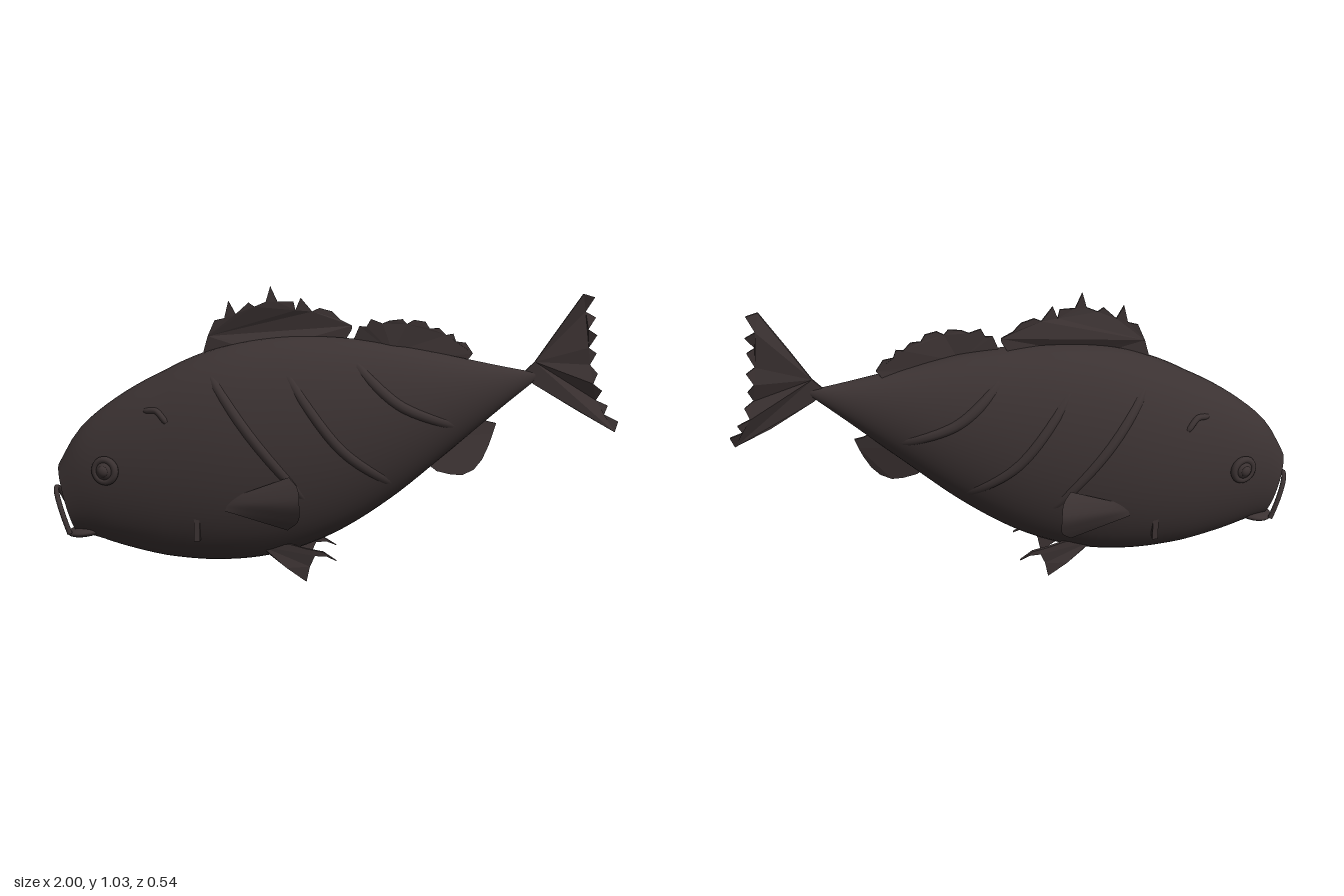
import * as THREE from 'three';

const skin = new THREE.MeshStandardMaterial({ color: 0x3b3232, side: THREE.DoubleSide });
skin.name = 'dark brown skin';

// Body profile: x, top, bottom, half width
const profile = [
  [-0.955, 0.41, 0.165, 0.062], [-0.88, 0.525, 0.143, 0.098], [-0.8, 0.605, 0.118, 0.126],
  [-0.6, 0.745, 0.078, 0.174], [-0.4, 0.828, 0.064, 0.2], [-0.2, 0.861, 0.088, 0.199],
  [0, 0.861, 0.163, 0.18], [0.2, 0.838, 0.29, 0.146], [0.4, 0.798, 0.455, 0.1],
  [0.6, 0.757, 0.625, 0.042], [0.71, 0.737, 0.715, 0.004],
];
const curve = new THREE.CubicInterpolant(profile.map((p) => p[0]), profile.flatMap((p) => p.slice(1)), 3);

function section(x) {
  const [top, bottom, w] = curve.evaluate(x);
  return { c: (top + bottom) / 2, h: (top - bottom) / 2, w };
}

// Side surface of the body at (x, y)
function surfaceZ(x, y) {
  const { c, h, w } = section(x);
  return w * Math.sqrt(Math.max(0, 1 - ((y - c) / h) ** 2));
}

// One cross-section; those near the mouth lean back at the bottom
function ring(x, scale = 1, shift = 0, n = 48) {
  const { c, h, w } = section(x);
  const lean = 0.24 * Math.max(0, (-0.6 - x) / 0.355);
  return Array.from({ length: n }, (_, j) => {
    const a = (j / n) * Math.PI * 2;
    const dy = h * scale * Math.cos(a);
    return [x + shift - lean * dy, c + dy, w * scale * Math.sin(a)];
  });
}

function loft(rings) {
  const n = rings[0].length, index = [];
  for (let i = 0; i < rings.length - 1; i++) {
    for (let j = 0; j < n; j++) {
      const a = i * n + j, b = i * n + (j + 1) % n;
      index.push(a, b, a + n, b, b + n, a + n);
    }
  }
  const g = new THREE.BufferGeometry();
  g.setAttribute('position', new THREE.Float32BufferAttribute(rings.flat(2), 3));
  g.setIndex(index);
  g.computeVertexNormals();
  return g;
}

function part(parent, name, geometry) {
  const mesh = new THREE.Mesh(geometry, skin);
  mesh.name = name;
  parent.add(mesh);
  return mesh;
}

// Thin fin from an outline, bent sideways by z = bend(x, y)
function fin(points, bend, thickness = 0.008) {
  const shape = new THREE.Shape(points.map((p) => new THREE.Vector2(...p)));
  const g = new THREE.ExtrudeGeometry(shape, { depth: thickness, bevelEnabled: false });
  const p = g.attributes.position;
  for (let i = 0; i < p.count; i++) p.setZ(i, p.getZ(i) - thickness / 2 + bend(p.getX(i), p.getY(i)));
  g.computeVertexNormals();
  return g;
}

function tube(points, radius) {
  const path = new THREE.CatmullRomCurve3(points.map((p) => new THREE.Vector3(...p)));
  return new THREE.TubeGeometry(path, 32, radius, 10);
}

// Tube lying on the flank, sinking into the body at both ends
function ridge(points, radius, depth, endDepth) {
  const flat = new THREE.SplineCurve(points.map((p) => new THREE.Vector2(...p)));
  return tube(flat.getPoints(12).map((p, i) => {
    const end = Math.abs(i / 6 - 1) ** 3;
    return [p.x, p.y, surfaceZ(p.x, p.y) - depth - (endDepth - depth) * end];
  }), radius);
}

// Cupped pectoral fin fanning out from a narrow root
function pectoralFin() {
  const tip = new THREE.CatmullRomCurve3([
    [-0.155, 0.405, 0.22], [-0.125, 0.375, 0.25], [-0.118, 0.32, 0.268], [-0.122, 0.26, 0.245], [-0.16, 0.22, 0.212],
  ].map((p) => new THREE.Vector3(...p)));
  const g = new THREE.PlaneGeometry(1, 1, 10, 14), p = g.attributes.position;
  for (let i = 0; i < p.count; i++) {
    const u = p.getX(i) + 0.5, v = 0.5 - p.getY(i);
    const root = new THREE.Vector3(-0.36 - 0.015 * v, 0.325 - 0.045 * v, 0.185);
    const q = root.lerp(tip.getPoint(v), u);
    p.setXYZ(i, q.x, q.y, q.z);
  }
  g.computeVertexNormals();
  return g;
}

function addFlank(parent) {
  // Eye: rim, ball and pupil
  const ex = -0.79, ey = 0.41, ez = surfaceZ(ex, ey);
  const eye = new THREE.Group();
  eye.name = 'eye';
  eye.position.set(ex, ey, ez);
  eye.rotation.y = -0.3;
  part(eye, 'eyeRim', new THREE.TorusGeometry(0.038, 0.013, 10, 32)).position.z = 0.008;
  part(eye, 'eyeBall', new THREE.SphereGeometry(0.036, 24, 16)).scale.z = 0.85;
  const pupil = part(eye, 'pupil', new THREE.SphereGeometry(0.02, 20, 12));
  pupil.position.z = 0.022;
  pupil.scale.z = 0.7;
  parent.add(eye);

  part(parent, 'brow', ridge([[-0.65, 0.615], [-0.61, 0.617], [-0.575, 0.582]], 0.011, 0.0, 0.008));
  const gill = part(parent, 'gillMark', new THREE.BoxGeometry(0.02, 0.08, 0.022));
  gill.position.set(-0.475, 0.208, surfaceZ(-0.475, 0.208) + 0.002);

  // Diagonal ridges
  [
    [[-0.43, 0.74], [-0.28, 0.53], [-0.08, 0.29]],
    [[-0.18, 0.76], [0.01, 0.5], [0.2, 0.36]],
    [[0.06, 0.78], [0.22, 0.635], [0.43, 0.555]],
  ].forEach((points) => part(parent, 'flankRidge', ridge(points, 0.022, 0.013, 0.032)));

  part(parent, 'pectoralFin', pectoralFin());
  part(parent, 'pelvicFin', fin([
    [-0.26, 0.13], [-0.23, 0.1], [-0.17, 0.055], [-0.1, 0.005], [-0.088, 0.06], [-0.07, 0.1],
    [-0.03, 0.1], [0.005, 0.085], [-0.04, 0.115], [-0.1, 0.125], [-0.16, 0.14],
  ], (x, y) => 0.092 + 0.12 * (x + 0.12) * (y > 0.07 ? 1 : 0), 0.012));
}

export function createModel() {
  const fish = new THREE.Group();
  fish.name = 'fish';

  // Body and hollow mouth
  const first = profile[0][0], last = profile[profile.length - 1][0];
  part(fish, 'body', loft(Array.from({ length: 57 }, (_, i) => ring(first + (last - first) * i / 56))));
  part(fish, 'mouth', loft([ring(first, 0, 0.05), ring(first, 0.6, 0.045), ring(first, 0.85, 0.02), ring(first)]));

  // Upper lip arch and lower lip
  const arch = Array.from({ length: 13 }, (_, i) => {
    const a = (i / 12) * Math.PI, s = Math.sin(a);
    return [-0.94 - 0.056 * s, 0.168 + 0.158 * s, 0.06 * Math.cos(a)];
  });
  part(fish, 'upperLip', tube(arch, 0.009));
  const lip = part(fish, 'lowerLip', new THREE.SphereGeometry(1, 28, 16));
  lip.scale.set(0.066, 0.02, 0.068);
  lip.position.set(-0.895, 0.167, 0);
  lip.rotation.z = 0.12;

  // Flank parts on both sides
  for (const side of [1, -1]) {
    const flank = new THREE.Group();
    flank.name = side > 0 ? 'leftFlank' : 'rightFlank';
    flank.scale.z = side;
    addFlank(flank);
    fish.add(flank);
  }

  // Spiny dorsal fins, waving from side to side
  part(fish, 'frontDorsalFin', fin([
    [-0.47, 0.78], [-0.445, 0.865], [-0.42, 0.92], [-0.385, 0.928], [-0.37, 0.988], [-0.345, 0.942], [-0.3, 0.982],
    [-0.28, 0.968], [-0.24, 0.985], [-0.224, 1.038], [-0.2, 0.985], [-0.145, 0.985], [-0.138, 0.955], [-0.12, 0.998],
    [-0.08, 0.95], [-0.055, 0.962], [-0.01, 0.95], [0.02, 0.92], [0.06, 0.9], [0.058, 0.885], [0.03, 0.84],
    [-0.1, 0.83], [-0.2, 0.83], [-0.3, 0.82],
  ], (x) => 0.022 * Math.sin((x + 0.47) * 8.6)));
  part(fish, 'rearDorsalFin', fin([
    [0.06, 0.84], [0.085, 0.9], [0.11, 0.898], [0.125, 0.925], [0.165, 0.91], [0.19, 0.92], [0.235, 0.925],
    [0.25, 0.908], [0.275, 0.922], [0.315, 0.915], [0.33, 0.892], [0.365, 0.892], [0.39, 0.868], [0.415, 0.872],
    [0.425, 0.845], [0.46, 0.84], [0.485, 0.803], [0.46, 0.77], [0.35, 0.79], [0.2, 0.81],
  ], (x) => 0.022 * Math.sin((x - 0.06) * 11)));

  // Anal fin, curving sideways
  part(fish, 'analFin', fin([
    [0.32, 0.42], [0.36, 0.39], [0.41, 0.378], [0.45, 0.376], [0.49, 0.395], [0.52, 0.43], [0.545, 0.48],
    [0.56, 0.52], [0.572, 0.555], [0.54, 0.562], [0.5, 0.585], [0.42, 0.51],
  ], (x, y) => 0.025 - 0.3 * Math.max(0, y - 0.4) + 0.2 * Math.max(0, y - 0.54)));

  // Tail fin with a ragged trailing edge and rippled rays
  part(fish, 'tailFin', fin([
    [0.66, 0.735], [0.7, 0.775], [0.77, 0.88], [0.86, 1.012], [0.9, 1.0], [0.872, 0.95], [0.908, 0.93], [0.88, 0.89],
    [0.91, 0.87], [0.885, 0.825], [0.915, 0.805], [0.893, 0.765], [0.918, 0.735], [0.902, 0.7], [0.935, 0.675],
    [0.918, 0.64], [0.962, 0.62], [0.948, 0.59], [0.995, 0.567], [0.982, 0.53], [0.85, 0.605], [0.7, 0.695],
  ], (x, y) => (x - 0.68) * (0.035 + 0.055 * Math.sin(y * 38)), 0.01));

  return fish;
}
